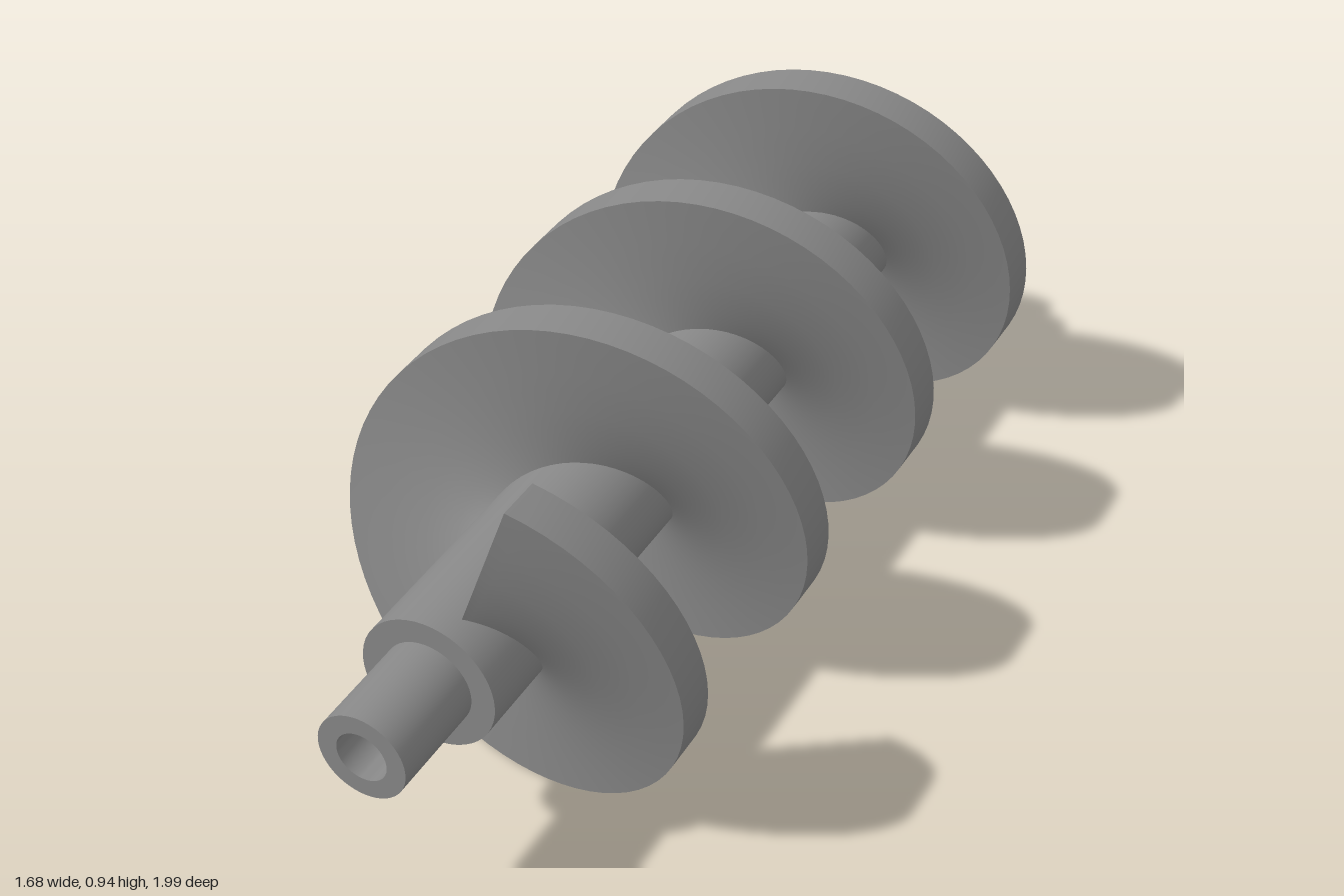
import * as THREE from 'three';
import { toCreasedNormals } from 'three/addons/utils/BufferGeometryUtils.js';

const steel = new THREE.MeshStandardMaterial({ color: 0x888888 });
steel.name = 'steelGrey';

// Stepped shaft with a bored stub at each end; its axis runs towards -z
function makeShaft() {
  const profile = [
    [0, 0.2], [0.056, 0.2], [0.056, 0], [0.0975, 0], [0.0975, 0.23], [0.15, 0.23],
    [0.15, 2.213], [0.09, 2.213], [0.09, 2.306], [0.056, 2.306], [0.056, 2.15], [0, 2.15],
  ].map(([r, s]) => new THREE.Vector2(r, s));
  const geometry = new THREE.LatheGeometry(profile, 48).rotateX(-Math.PI / 2);
  return toCreasedNormals(geometry, 0.6);
}

// Helical blade: a rectangular section swept round the shaft, thinning to an edge at the back
function makeFlight() {
  const pitch = 0.538, halfThickness = 0.05;
  const start = 110, end = 3 * 360 + 270, taper = 25, steps = 248;
  const radii = [0.14, 0.2, 0.28, 0.37, 0.47];
  const n = radii.length, loop = n * 2;
  const positions = [], index = [];
  for (let i = 0; i <= steps; i++) {
    const degrees = start + (end - start) * i / steps;
    const angle = THREE.MathUtils.degToRad(degrees);
    const middle = 0.17 + pitch * degrees / 360;
    const back = middle + halfThickness;
    const front = back - 2 * halfThickness * Math.min(1, (end - degrees) / taper);
    const add = (r, s) => positions.push(-r * Math.cos(angle), r * Math.sin(angle), -s);
    radii.forEach((r) => add(r, front));
    [...radii].reverse().forEach((r) => add(r, back));
    if (i === steps) break;
    for (let j = 0; j < loop; j++) {
      const a = i * loop + j, b = i * loop + (j + 1) % loop;
      index.push(a, a + loop, b, b, a + loop, b + loop);
    }
  }
  // Square face where the blade begins
  index.push(0, n - 1, n, 0, n, loop - 1);
  const geometry = new THREE.BufferGeometry();
  geometry.setAttribute('position', new THREE.Float32BufferAttribute(positions, 3));
  geometry.setIndex(index);
  return toCreasedNormals(geometry, 0.6);
}

export function createModel() {
  const model = new THREE.Group();
  model.name = 'screwConveyor';

  const screw = new THREE.Group();
  screw.name = 'screw';
  for (const [name, geometry] of [['shaft', makeShaft()], ['flight', makeFlight()]]) {
    const mesh = new THREE.Mesh(geometry, steel);
    mesh.name = name;
    screw.add(mesh);
  }
  // The screw lies level, turned across the frame
  screw.rotation.y = THREE.MathUtils.degToRad(-35.08);
  screw.position.set(-0.76, 0.47, 0.937);
  model.add(screw);
  return model;
}
